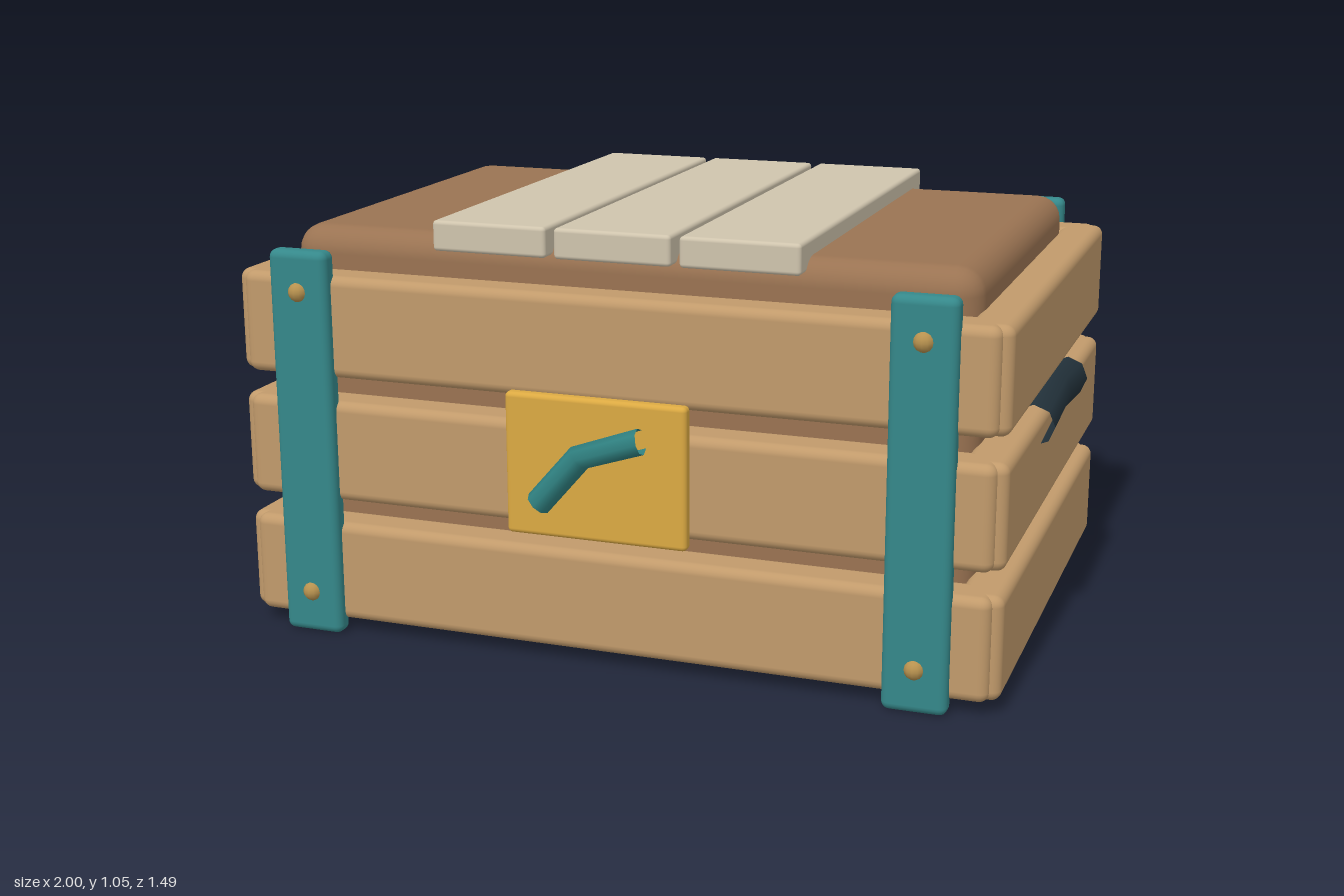
import * as THREE from 'three';
import { RoundedBoxGeometry } from 'three/addons/geometries/RoundedBoxGeometry.js';

const material = (color, side = THREE.FrontSide) => new THREE.MeshStandardMaterial({ color, side });
const wood = material(0xc19a6b);
const darkWood = material(0x9a7352);
const paleWood = material(0xcfc4ad);
const teal = material(0x35888a);
const brass = material(0xdba942);
const rivetMetal = material(0xb8924f);
const grip = material(0x22313a, THREE.DoubleSide);
const latchMetal = material(0x2f8080, THREE.DoubleSide);

// Rounded box given by its limits on each axis
function block(name, mat, [x0, x1], [y0, y1], [z0, z1], radius) {
  const geometry = new RoundedBoxGeometry(x1 - x0, y1 - y0, z1 - z0, 3, radius);
  const mesh = new THREE.Mesh(geometry, mat);
  mesh.position.set((x0 + x1) / 2, (y0 + y1) / 2, (z0 + z1) / 2);
  mesh.name = name;
  return mesh;
}

// Bar with a single kink, swept through three points
function bentBar(name, mat, points, radius) {
  const curve = new THREE.CatmullRomCurve3(points.map((p) => new THREE.Vector3(...p)));
  const mesh = new THREE.Mesh(new THREE.TubeGeometry(curve, 2, radius, 8), mat);
  mesh.name = name;
  return mesh;
}

export function createModel() {
  const crate = new THREE.Group();
  crate.name = 'crate';
  const midZ = -0.023;

  // Inner chest
  crate.add(block('innerChest', darkWood, [-0.87, 0.87], [0.04, 1.013], [-0.582, 0.535], 0.065));

  // Three courses of slats around the chest
  for (const y of [0.032, 0.346, 0.661]) {
    const height = [y, y + 0.255];
    crate.add(block('frontSlat', wood, [-0.942, 0.942], height, [0.54, 0.655], 0.025));
    crate.add(block('backSlat', wood, [-0.942, 0.942], height, [-0.7, -0.585], 0.025));
    crate.add(block('leftSlat', wood, [0.855, 0.966], height, [-0.68, 0.634], 0.025));
    crate.add(block('rightSlat', wood, [-0.966, -0.855], height, [-0.68, 0.634], 0.025));
  }

  // Lid planks
  for (const x of [-0.315, 0, 0.315]) {
    crate.add(block('lidPlank', paleWood, [x - 0.147, x + 0.147], [0.98, 1.055], [-0.618, 0.57], 0.01));
  }

  // Upright straps with rivets, front and back
  for (const side of [-1, 1]) {
    for (const face of [-1, 1]) {
      const strapZ = midZ + face * 0.677;
      const x = side * 0.775;
      crate.add(block('strap', teal, [x - 0.078, x + 0.078], [0, 0.98], [strapZ - 0.028, strapZ + 0.028], 0.02));
      for (const y of [0.108, 0.878]) {
        const rivet = new THREE.Mesh(new THREE.SphereGeometry(0.025, 12, 8), rivetMetal);
        rivet.position.set(x, y, strapZ + face * 0.02);
        rivet.name = 'rivet';
        crate.add(rivet);
      }
    }
  }

  // Latch plate and lever
  crate.add(block('latchPlate', brass, [-0.228, 0.228], [0.33, 0.68], [0.655, 0.69], 0.012));
  crate.add(bentBar('latchLever', latchMetal, [[-0.135, 0.42, 0.713], [0, 0.565, 0.713], [0.125, 0.597, 0.713]], 0.032));

  // Side handles
  for (const side of [-1, 1]) {
    const x = side * 0.947;
    crate.add(bentBar('sideHandle', grip, [[x, 0.582, 0.223], [x, 0.605, midZ], [x, 0.582, -0.269]], 0.053));
  }
  return crate;
}
